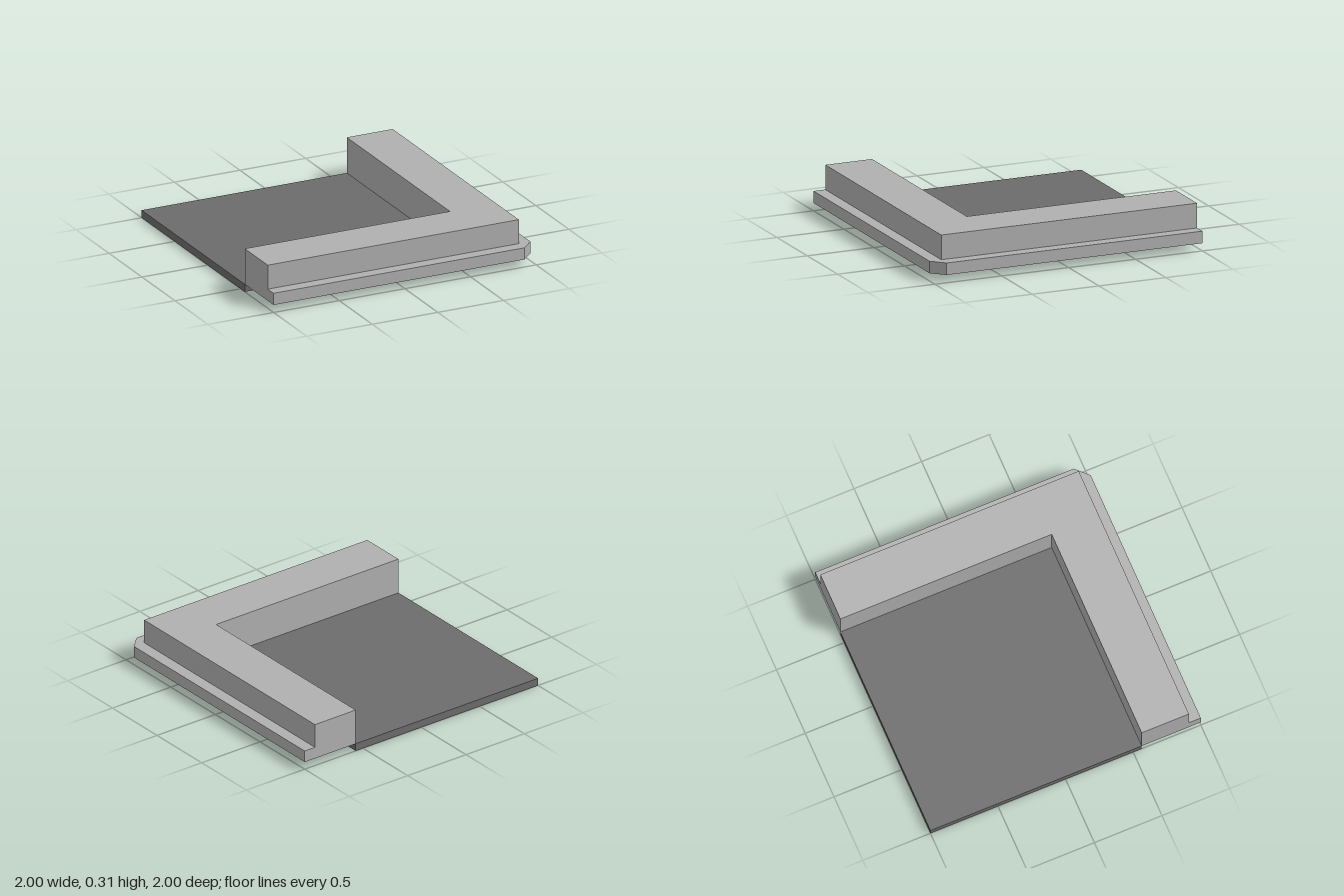
import * as THREE from 'three';

const INNER = 0.563; // inside corner of the kerb
const RAIL = 0.912;  // outer face of the raised kerb
const FLOOR = 0.055, LEDGE = 0.14, TOP = 0.315;

// Extrudes a plan outline of [x, z] points from y0 up to y1.
function slab(name, plan, y0, y1, material) {
  const shape = new THREE.Shape(plan.map(([x, z]) => new THREE.Vector2(x, -z)));
  const geometry = new THREE.ExtrudeGeometry(shape, { depth: y1 - y0, bevelEnabled: false });
  geometry.rotateX(-Math.PI / 2);
  geometry.translate(0, y0, 0);
  const mesh = new THREE.Mesh(geometry, material);
  mesh.name = name;
  return mesh;
}

// L-shaped plan running along the front and left sides, with an optional cut corner.
function cornerPlan(outer, cut = 0) {
  const corner = cut ? [[outer - cut, outer], [outer, outer - cut]] : [[outer, outer]];
  return [[-1, INNER], [-1, outer], ...corner, [outer, -1], [INNER, -1], [INNER, INNER]];
}

export function createModel() {
  const lightGrey = new THREE.MeshStandardMaterial({ name: 'lightGrey', color: 0xb0b0b0 });
  const darkGrey = new THREE.MeshStandardMaterial({ name: 'darkGrey', color: 0x6c6c6c });

  const model = new THREE.Group();
  model.name = 'cornerTile';

  // Sunken square floor
  const floorPlan = [[-1, -1], [-1, INNER], [INNER, INNER], [INNER, -1]];
  model.add(slab('floor', floorPlan, 0, FLOOR, darkGrey));

  // Wider base step with a cut corner, and the raised kerb on it
  model.add(slab('kerbBase', cornerPlan(1, 1 - RAIL), FLOOR, LEDGE, lightGrey));
  model.add(slab('kerbTop', cornerPlan(RAIL), LEDGE, TOP, lightGrey));

  return model;
}
